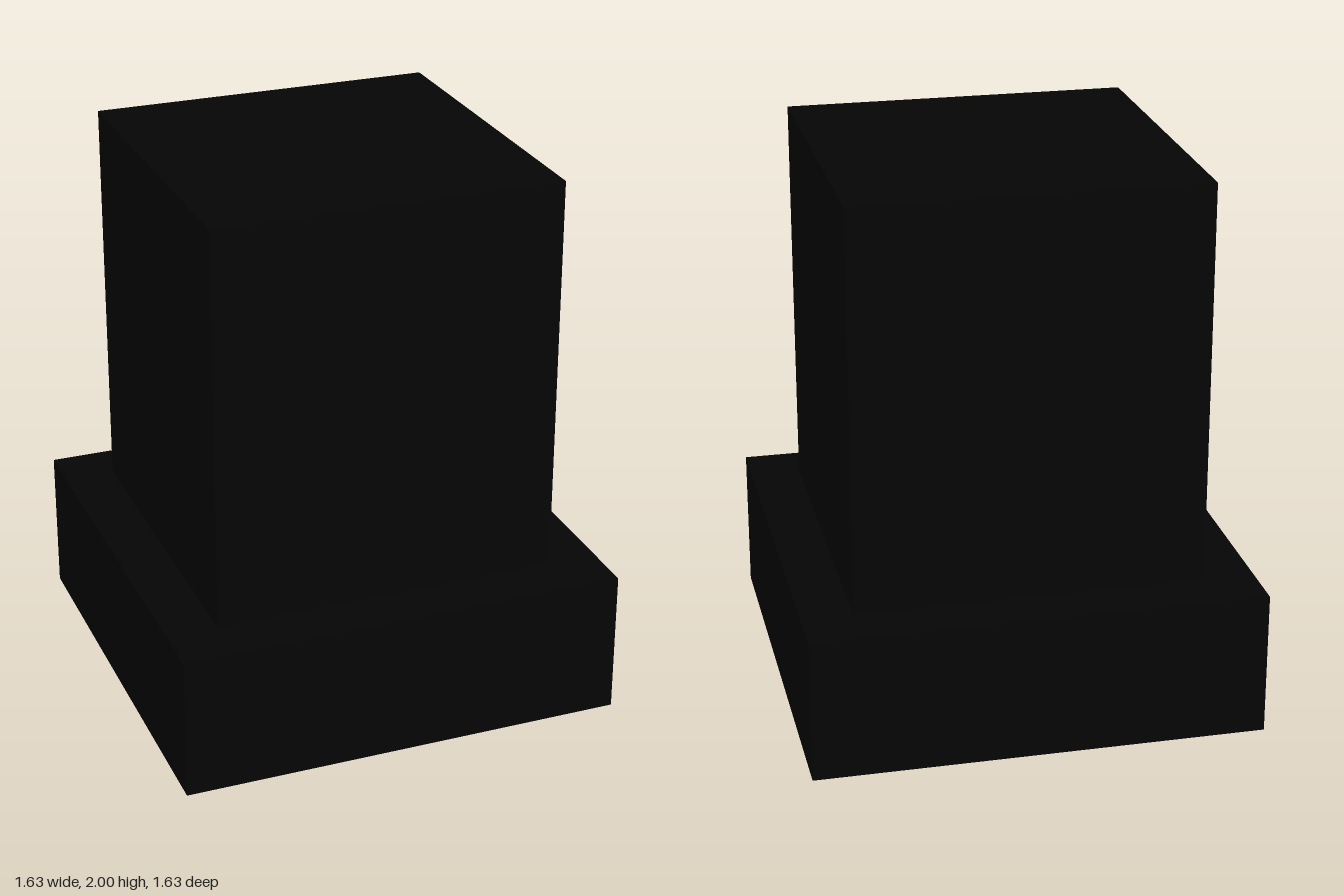
import * as THREE from 'three';

const BASE = { half: 0.817, bottom: 0, top: 0.53 };
const BODY = { half: 0.632, bottom: 0.53, top: 2 };
const INSET = 0.002; // keeps the cores just clear of their casings

export function createModel() {
  const model = new THREE.Group();
  const black = new THREE.MeshStandardMaterial({ color: 0x050505 });
  const grey = new THREE.MeshStandardMaterial({ color: 0xcccccc });

  function add(name, geometry, material, { bottom, top }) {
    const mesh = new THREE.Mesh(geometry, material);
    mesh.name = name;
    mesh.position.y = (bottom + top) / 2;
    model.add(mesh);
  }

  // Square black casing around a round grey core
  function addTier(name, tier) {
    const height = tier.top - tier.bottom;
    const radius = tier.half - INSET;
    add(name + 'Casing', new THREE.BoxGeometry(tier.half * 2, height, tier.half * 2), black, tier);
    add(name + 'Core', new THREE.CylinderGeometry(radius, radius, height - INSET * 2, 32), grey, tier);
  }

  // Wide low base and the tall body standing on it
  addTier('base', BASE);
  addTier('body', BODY);

  return model;
}
